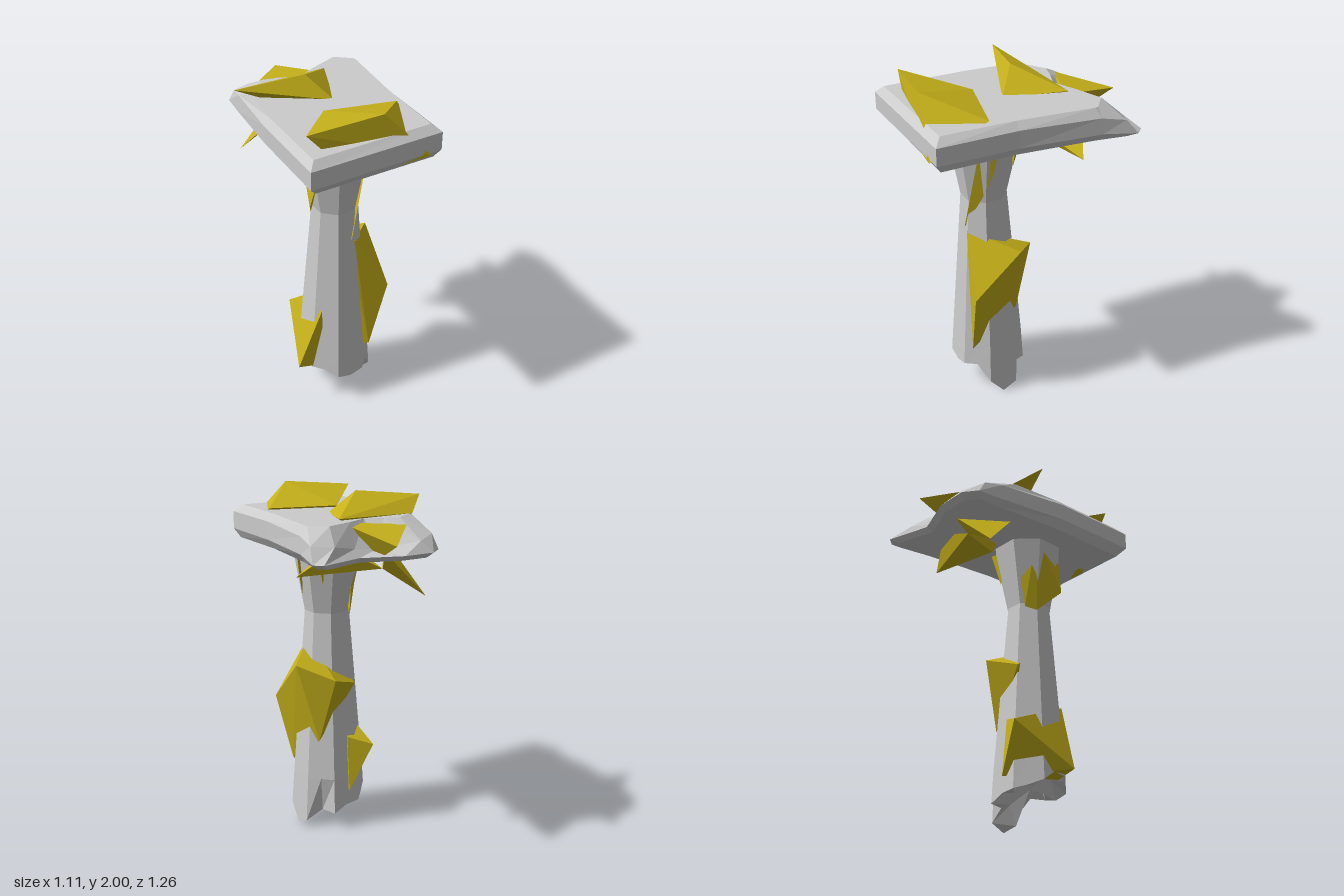
import * as THREE from 'three';
import { ConvexGeometry } from 'three/addons/geometries/ConvexGeometry.js';

const stone = new THREE.MeshStandardMaterial({ color: 0xcccccc, flatShading: true });
const gold = new THREE.MeshStandardMaterial({ color: 0xc7b21a, flatShading: true });

// Skin a stack of rings (bottom to top, counter-clockwise from above), closed by a fan at each end
function loft(rings, bottomPoint, topPoint) {
  const n = rings[0].length, tri = [];
  const last = rings[rings.length - 1];
  for (let i = 0; i < n; i++) {
    const j = (i + 1) % n;
    for (let r = 0; r + 1 < rings.length; r++) {
      const a = rings[r], b = rings[r + 1];
      tri.push(a[i], a[j], b[j], a[i], b[j], b[i]);
    }
    tri.push(bottomPoint, rings[0][j], rings[0][i]);
    tri.push(topPoint, last[i], last[j]);
  }
  const g = new THREE.BufferGeometry();
  g.setAttribute('position', new THREE.Float32BufferAttribute(tri.flat(), 3));
  g.computeVertexNormals();
  return g;
}

function add(group, name, geometry, material) {
  const m = new THREE.Mesh(geometry, material);
  m.name = name;
  group.add(m);
}

// Octagonal column ring; odd points are the middles of the flat sides
function columnPoint(k, y, apothem, cz = 0.115) {
  const t = THREE.MathUtils.degToRad(11.5 + 22.5 * k);
  const r = k % 2 ? apothem : apothem / Math.cos(Math.PI / 8);
  return [-0.07 + r * Math.cos(t), y, cz - r * Math.sin(t)];
}

function column() {
  const ring = (y, a, cz) => Array.from({ length: 16 }, (_, k) => columnPoint(k, y, a, cz));
  // Snapped-off foot: a height for every point around
  const jag = [0.04, 0.1, 0.1, 0.14, 0.15, 0.17, 0.2, 0.26, 0.25, 0.24, 0.2, 0.18, 0.2, 0.21, 0.1, 0];
  const foot = jag.map((y, k) => columnPoint(k, y, (k === 1 ? 0.15 : 0.2) + (0.2 - y) * 0.06));
  const inner = jag.map((y, k) => columnPoint(k, y + (k % 2 ? 0.02 : 0.09), 0.11));
  return loft([inner, foot, ring(0.31, 0.193), ring(1.3, 0.12, 0.125), ring(1.74, 0.2)],
    [-0.07, 0.2, 0.115], [-0.07, 1.74, 0.115]);
}

function slab() {
  // Each row: outline x, z, then upper edge x, y, z, then top face x, z
  const rows = [
    [-0.555, 0.48, -0.555, 1.84, 0.48, -0.51, 0.45],
    [0.2, 0.63, 0.2, 1.84, 0.63, 0.165, 0.58],
    [0.31, 0.19, 0.31, 1.84, 0.19, 0.275, 0.18],
    [0.47, -0.25, 0.46, 1.83, -0.24, 0.42, -0.23],
    [0.55, -0.43, 0.51, 1.8, -0.37, 0.42, -0.25],
    [0.52, -0.48, 0.4, 1.79, -0.43, 0.35, -0.34],
    [0.25, -0.455, 0.24, 1.76, -0.41, 0.17, -0.31],
    [0.04, -0.58, 0.09, 1.74, -0.42, 0.04, -0.28],
    [-0.14, -0.615, -0.1, 1.78, -0.56, -0.05, -0.34],
    [-0.23, -0.57, -0.23, 1.8, -0.52, -0.13, -0.38],
    [-0.275, -0.44, -0.275, 1.82, -0.42, -0.29, -0.31],
    [-0.42, -0.03, -0.42, 1.84, -0.03, -0.39, -0.02],
  ];
  return loft([
    rows.map(p => [p[0] * 0.9, 1.69, p[1] * 0.94]),
    rows.map(p => [p[0], p[1] < -0.4 ? 1.72 : 1.74, p[1]]),
    rows.map(p => [p[2], p[3], p[4]]),
    rows.map(p => [p[5], 1.88, p[6]]),
  ], [-0.03, 1.69, 0.1], [-0.03, 1.88, 0.1]);
}

// Angular crystals, each the hull of a few corners
const shards = {
  frontSlabShard: [[-0.1, 2, 0.51], [-0.485, 1.965, 0.37], [-0.15, 1.89, 0.125], [0.205, 1.89, 0.3],
    [0.13, 1.73, 0.625], [-0.24, 1.67, 0.47]],
  rearSlabShard: [[-0.09, 2, -0.085], [-0.435, 1.965, -0.245], [-0.29, 1.88, -0.325], [0.195, 1.89, -0.25],
    [0, 1.87, 0.045], [-0.05, 1.75, -0.2]],
  rearSpike: [[0.16, 1.79, -0.63], [0.185, 1.87, -0.25], [-0.13, 1.85, -0.43], [0.1, 1.7, -0.46], [0, 1.75, -0.3]],
  undersideShard: [[0.42, 1.6, -0.16], [0, 1.62, -0.38], [0.02, 1.63, -0.12], [0, 1.75, -0.06], [0.25, 1.75, -0.3]],
  undersideSpike: [[-0.24, 1.45, -0.48], [0, 1.62, -0.38], [-0.2, 1.74, -0.2], [0.05, 1.72, -0.45]],
  neckShard: [[-0.28, 1.38, 0.16], [-0.18, 1.25, 0.05], [-0.13, 1.27, 0], [-0.24, 1.6, 0.2],
    [-0.1, 1.72, -0.06], [-0.22, 1.72, 0]],
  neckStrip: [[-0.07, 1.12, 0.265], [-0.03, 1.28, 0.255], [0.07, 1.7, 0.25], [0.13, 1.7, 0.165],
    [0.05, 1.38, 0.2], [0.09, 1.5, 0.18], [-0.03, 1.3, 0.15]],
  neckSplinter: [[0.06, 1.48, 0.02], [0.12, 1.7, 0], [0.12, 1.7, 0.04], [0, 1.7, 0.02]],
  middleShard: [[-0.05, 1.11, 0.265], [-0.07, 1.08, 0.25], [0.21, 1.02, 0.085], [0.135, 0.76, 0.355],
    [0.04, 0.345, 0.31], [0.01, 0.34, 0.28], [0.075, 0.94, -0.1], [0.09, 0.55, 0.02], [-0.12, 0.88, -0.06]],
  footShard: [[-0.235, 0.67, 0.2], [-0.355, 0.27, 0.13], [-0.21, 0.25, 0.19], [-0.04, 0.23, -0.1],
    [-0.17, 0.51, -0.165], [-0.05, 0.56, -0.07]],
};

export function createModel() {
  const model = new THREE.Group();
  model.name = 'brokenPillar';
  add(model, 'column', column(), stone);
  add(model, 'capSlab', slab(), stone);
  for (const [name, points] of Object.entries(shards)) {
    add(model, name, new ConvexGeometry(points.map(p => new THREE.Vector3(...p))), gold);
  }
  return model;
}
